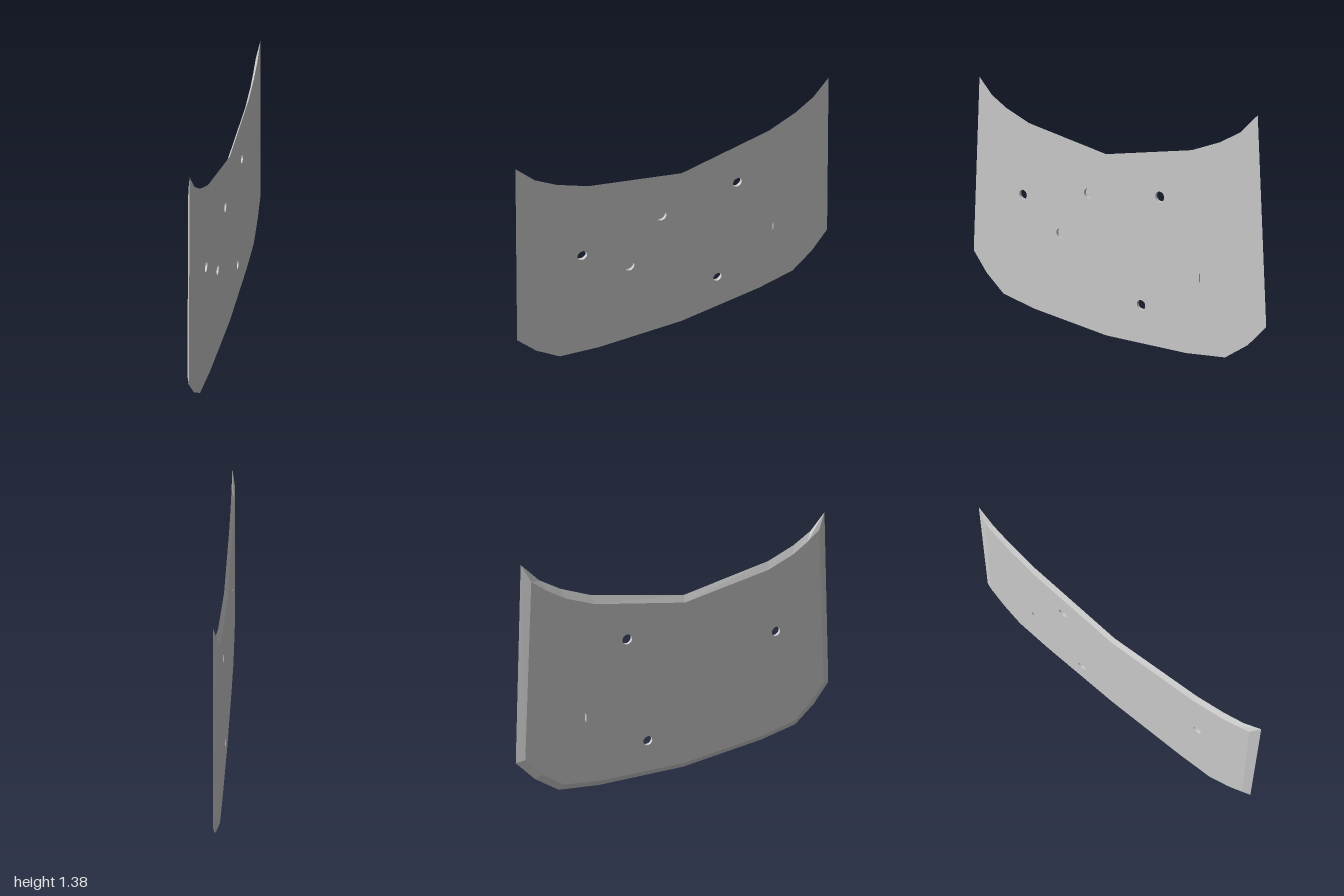
import * as THREE from 'three';

const FRONT = 0.009, BACK = -0.009;

// Half outlines of the wide face and the smaller bevelled face, bottom centre to top centre
const WIDE = [[0, 0], [0.53, 0.035], [0.77, 0.075], [0.9, 0.18], [1, 0.305],
  [0.9, 1.38], [0.81, 1.285], [0.7, 1.22], [0.535, 1.155], [0, 1.055]];
const INSET = [[0, 0.035], [0.52, 0.07], [0.745, 0.11], [0.86, 0.205], [0.953, 0.32],
  [0.858, 1.29], [0.78, 1.23], [0.685, 1.172], [0.525, 1.11], [0, 1.018]];

const mirror = (half) => [
  ...half.map(([u, y]) => new THREE.Vector2(u, y)),
  ...half.slice(1, -1).reverse().map(([u, y]) => new THREE.Vector2(-u, y)),
];

// Clockwise ellipse, used for holes
const ring = (u, y, ru, ry, n = 24) => Array.from({ length: n }, (_, i) => {
  const a = -i / n * Math.PI * 2;
  return new THREE.Vector2(u + ru * Math.cos(a), y + ry * Math.sin(a));
});

// Flat face with holes at a given depth
function face(points, holes, depth, flip) {
  const shape = new THREE.Shape(points);
  shape.holes = holes.map((h) => new THREE.Path(h));
  const geo = new THREE.ShapeGeometry(shape);
  if (flip) {
    geo.index.array.reverse();
    geo.attributes.normal.array.forEach((v, i, arr) => { arr[i] = -v; });
  }
  return geo.translate(0, 0, depth);
}

// Band of quads joining a loop at one depth to a loop at another
function band(front, back, zFront, zBack) {
  const pos = [];
  front.forEach((a, i) => {
    const j = (i + 1) % front.length, b = front[j], c = back[j], d = back[i];
    pos.push(d.x, d.y, zBack, c.x, c.y, zBack, b.x, b.y, zFront);
    pos.push(d.x, d.y, zBack, b.x, b.y, zFront, a.x, a.y, zFront);
  });
  const geo = new THREE.BufferGeometry();
  geo.setAttribute('position', new THREE.Float32BufferAttribute(pos, 3));
  geo.computeVertexNormals();
  return geo;
}

export function createModel() {
  const group = new THREE.Group();
  group.name = 'curvedPanel';
  const material = new THREE.MeshStandardMaterial({ color: 0xcccccc, flatShading: true });
  const add = (name, geo) => {
    const mesh = new THREE.Mesh(geo.rotateY(Math.PI / 2), material);
    mesh.name = name;
    group.add(mesh);
  };

  const wide = mirror(WIDE), inset = mirror(INSET);
  const R = 0.028;
  const through = [[-0.593, 0.728], [0.347, 0.877], [0.236, 0.242]].map(([u, y]) => ring(u, y, R, R));
  const slot = ring(0.602, 0.48, 0.004, 0.027, 12);
  const blind = [[-0.122, 0.815], [-0.322, 0.545]].map(([u, y]) => ring(u, y, R, R));
  const open = [...through, slot];

  // Faces and bevelled rim
  add('wideFace', face(wide, [...open, ...blind], FRONT, false));
  add('insetFace', face(inset, open, BACK, true));
  add('bevelledRim', band(wide, inset, FRONT, BACK));

  // Holes through the panel
  open.forEach((h) => add('holeWall', band(h, h, FRONT, BACK)));

  // Blind holes with a floor
  const floor = BACK + 0.002;
  blind.forEach((h) => {
    add('pocketWall', band(h, h, FRONT, floor));
    add('pocketFloor', face(h, [], floor, false));
  });
  return group;
}
